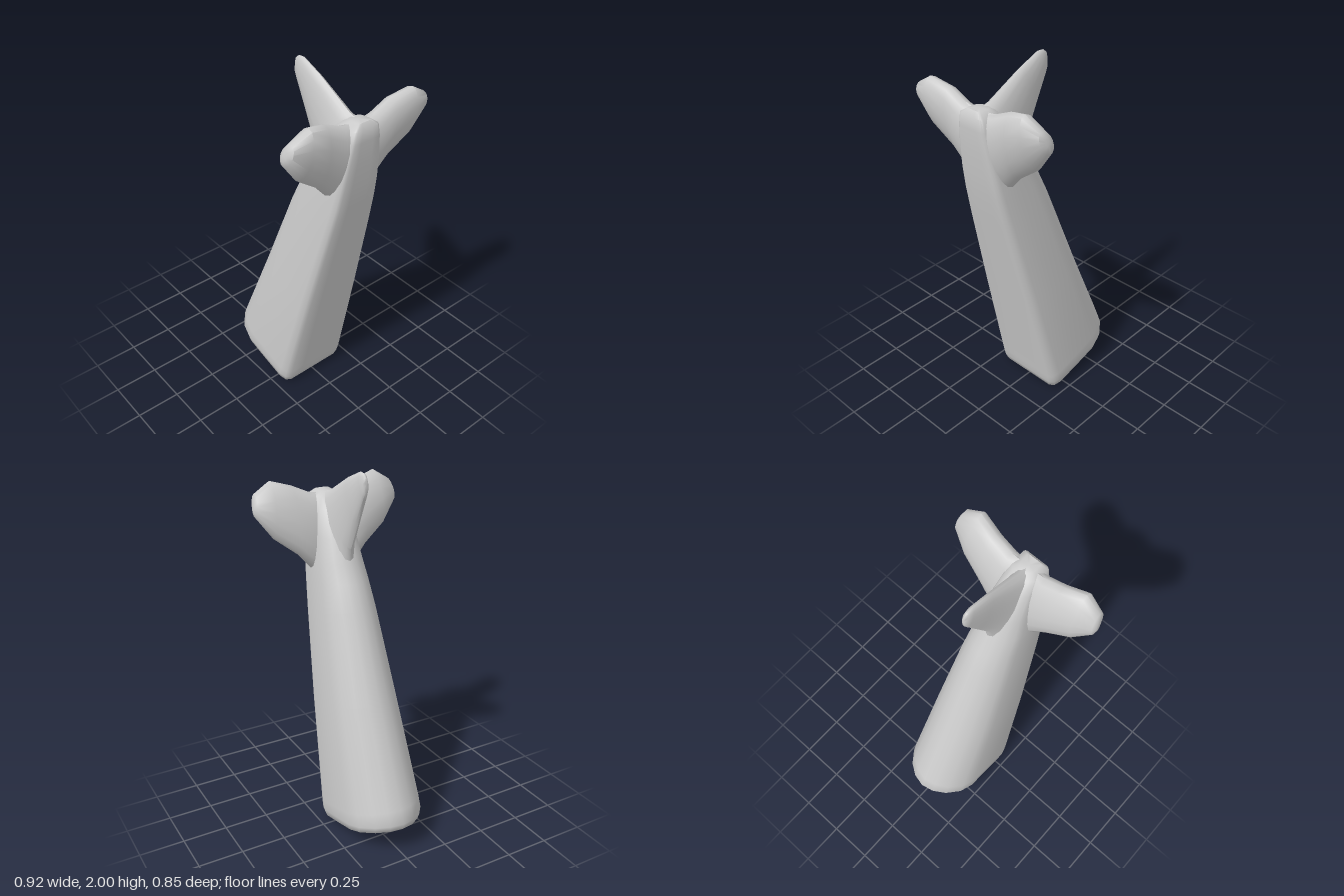
import * as THREE from 'three';
import { toCreasedNormals } from 'three/addons/utils/BufferGeometryUtils.js';

const material = new THREE.MeshStandardMaterial({ color: 0xcccccc });

// Half cross-section of the shaft: round nose at u = 0, flat face at u = 1
const shaftHalf = [[0, 0], [0.03, 0.33], [0.11, 0.64], [0.24, 0.9], [0.38, 1], [0.65, 1],
  [0.9, 0.99], [0.97, 0.93], [1, 0.8], [1, 0.4], [1, 0]];
const shaftProfile = [...shaftHalf, ...shaftHalf.slice(1, -1).reverse().map(([u, v]) => [u, -v])];

// Oval cross-section of the fins
const finProfile = Array.from({ length: 16 }, (_, i) => {
  const t = (i / 16) * Math.PI * 2;
  return [0.5 - 0.5 * Math.cos(t), Math.sin(t)];
});

// Skin a closed surface over rows of [edge start, edge end, half-thickness vector]
function loft(name, profile, rows) {
  const n = profile.length, pos = [], idx = [];
  for (const [a, b, h] of rows)
    for (const [u, v] of profile)
      for (let k = 0; k < 3; k++) pos.push(a[k] + (b[k] - a[k]) * u + h[k] * v);
  for (let r = 0; r < rows.length - 1; r++)
    for (let i = 0; i < n; i++) {
      const j = (i + 1) % n, p = r * n, q = p + n;
      idx.push(p + i, p + j, q + j, p + i, q + j, q + i);
    }
  // end caps
  for (const r of [0, rows.length - 1]) {
    const [a, b] = rows[r], c = pos.length / 3;
    for (let k = 0; k < 3; k++) pos.push((a[k] + b[k]) / 2);
    for (let i = 0; i < n; i++) {
      const p = r * n + i, q = r * n + (i + 1) % n;
      idx.push(...(r === 0 ? [c, q, p] : [c, p, q]));
    }
  }
  // turn faces outward if the signed volume is negative
  const P = i => new THREE.Vector3().fromArray(pos, i * 3);
  let volume = 0;
  for (let i = 0; i < idx.length; i += 3)
    volume += P(idx[i]).dot(P(idx[i + 1]).cross(P(idx[i + 2])));
  if (volume < 0) idx.reverse();

  const geometry = new THREE.BufferGeometry();
  geometry.setAttribute('position', new THREE.Float32BufferAttribute(pos, 3));
  geometry.setIndex(idx);
  const mesh = new THREE.Mesh(toCreasedNormals(geometry, 0.95), material);
  mesh.name = name;
  return mesh;
}

export function createModel() {
  const group = new THREE.Group();
  group.name = 'finnedShaft';

  // Leaning, tapered shaft: nose x, y, back x, y, half width
  const shaftRows = [
    [-0.42, 0.15, 0.07, 0, 0.19],
    [-0.45, 0.163, 0.09, 0.012, 0.21],
    [-0.46, 0.2, 0.105, 0.05, 0.22],
    [-0.43, 0.27, 0.115, 0.1, 0.22],
    [-0.2, 0.8, 0.25, 0.7, 0.187],
    [-0.01, 1.27, 0.365, 1.2, 0.15],
    [0.05, 1.4, 0.405, 1.38, 0.135],
    [0.11, 1.5, 0.425, 1.5, 0.125],
    [0.16, 1.62, 0.443, 1.63, 0.11],
    [0.25, 1.76, 0.455, 1.75, 0.09],
    [0.32, 1.815, 0.455, 1.815, 0.075],
    [0.35, 1.835, 0.435, 1.84, 0.04],
  ].map(([x0, y0, x1, y1, w]) => [[x0, y0, 0], [x1, y1, 0], [0, 0, w]]);
  group.add(loft('shaft', shaftProfile, shaftRows));

  // Thin fin reaching forward over the nose side
  const topRows = [
    [-0.055, 1.93, -0.05, 1.98, 0.006],
    [-0.053, 1.9, -0.03, 1.997, 0.016],
    [-0.04, 1.87, 0.005, 2, 0.022],
    [0.03, 1.73, 0.13, 1.95, 0.034],
    [0.105, 1.58, 0.33, 1.845, 0.055],
    [0.12, 1.48, 0.4, 1.83, 0.07],
  ].map(([x0, y0, x1, y1, w]) => [[x0, y0, 0], [x1, y1, 0], [0, 0, w]]);
  group.add(loft('noseFin', finProfile, topRows));

  // Mirrored paddle fins: lower x, y, z, upper x, y, z, half thickness
  for (const s of [1, -1]) {
    const rows = [
      [0.33, 1.4, 0.04, 0.39, 1.82, 0, 0.07],
      [0.32, 1.44, 0.13, 0.39, 1.835, 0.1, 0.08],
      [0.33, 1.52, 0.2, 0.39, 1.88, 0.2, 0.075],
      [0.35, 1.62, 0.33, 0.415, 1.91, 0.31, 0.068],
      [0.37, 1.74, 0.418, 0.405, 1.855, 0.4, 0.04],
      [0.375, 1.77, 0.425, 0.39, 1.82, 0.415, 0.015],
    ].map(([x0, y0, z0, x1, y1, z1, t]) => [[x0, y0, s * z0], [x1, y1, s * z1], [t, 0, 0]]);
    group.add(loft(s > 0 ? 'frontSideFin' : 'backSideFin', finProfile, rows));
  }
  return group;
}
